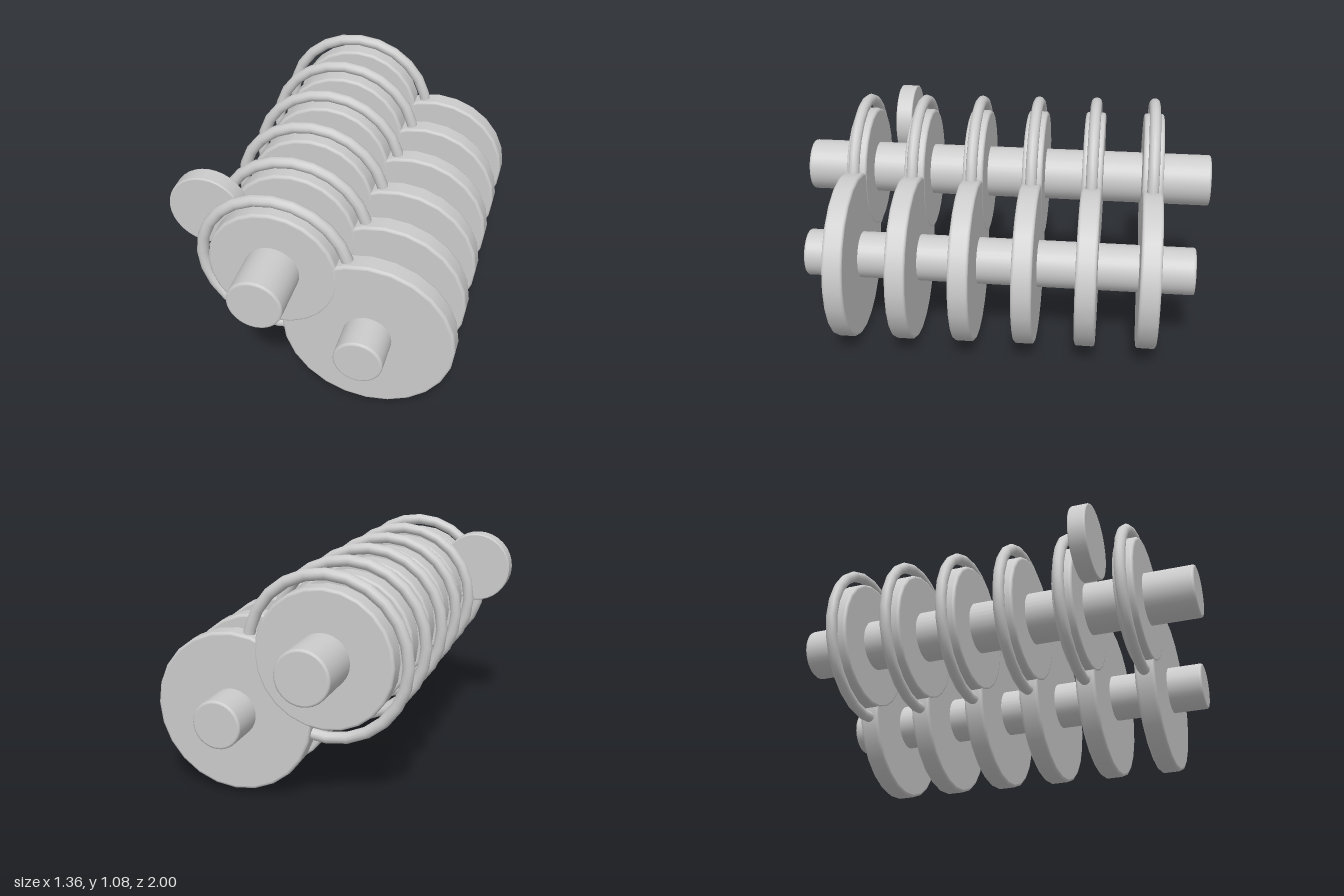
import * as THREE from 'three';

const material = new THREE.MeshStandardMaterial({ color: 0xcccccc });

// Solid disc or rod along z with rounded rims
function roundedDisc(radius, length, bevel, sides) {
  const h = length / 2, e = 0.001, points = [];
  const add = (x, y) => points.push(new THREE.Vector2(x, y));
  add(0, -h);
  add(radius - bevel - e, -h);
  for (let i = 0; i <= 3; i++) {
    const a = (i / 3) * Math.PI / 2;
    add(radius - bevel + bevel * Math.sin(a), -h + bevel - bevel * Math.cos(a));
  }
  add(radius, -h + bevel + e);
  // Mirror the lower half of the profile
  for (const p of points.slice().reverse()) add(p.x, -p.y);
  return new THREE.LatheGeometry(points, sides).rotateX(Math.PI / 2);
}

export function createModel() {
  const model = new THREE.Group();
  model.name = 'rollerAssembly';
  const place = (name, geometry, x, y, z) => {
    const mesh = new THREE.Mesh(geometry, material);
    mesh.name = name;
    mesh.position.set(x, y, z);
    model.add(mesh);
  };
  const upper = [-0.15, 0.69], lower = [0.28, 0.4];

  // Two parallel shafts
  place('upperShaft', roundedDisc(0.125, 2, 0.01, 32), ...upper, 0);
  place('lowerShaft', roundedDisc(0.112, 1.855, 0.01, 32), ...lower, 0);

  // Six stations of overlapping discs and a ring, changing size slightly to the back
  for (let i = 0; i < 6; i++) {
    const z = 0.7125 - i * 0.285, t = i / 5;
    place('upperDisc', roundedDisc(0.298 + 0.022 * t, 0.098, 0.012, 24), ...upper, z);
    place('lowerDisc', roundedDisc(0.397 - 0.025 * t, 0.095, 0.012, 24), ...lower, z);
    place('ring', new THREE.TorusGeometry(0.341 + 0.027 * t, 0.027, 12, 24), ...upper, z);
  }

  // Small separate disc beside the upper shaft
  place('sideDisc', roundedDisc(0.175, 0.083, 0.006, 32), -0.505, 0.833, 0.571);
  return model;
}
